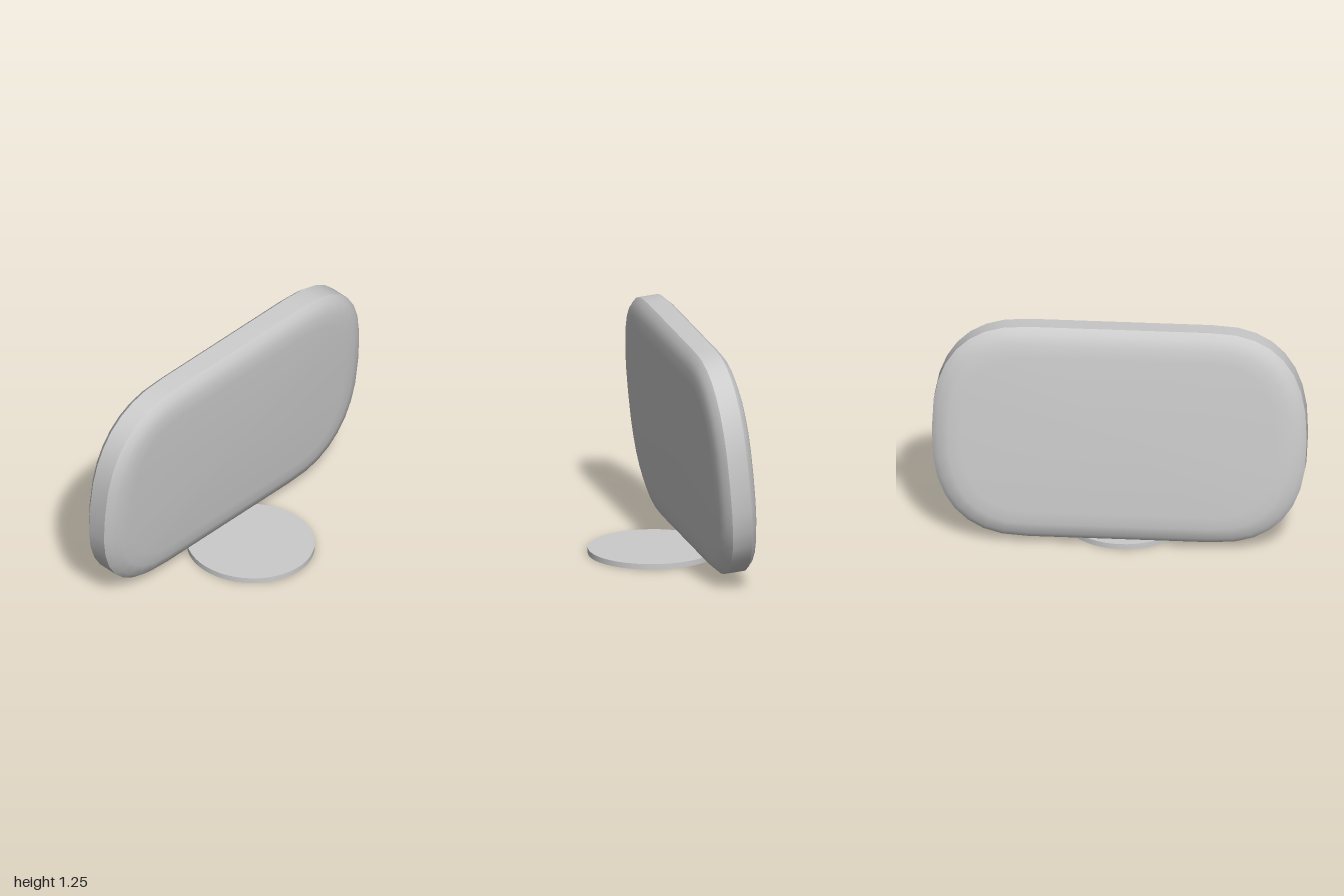
import * as THREE from 'three';
import { toCreasedNormals } from 'three/addons/utils/BufferGeometryUtils.js';

const FLAT = 0.48;   // half length of the straight top and bottom edges
const POWER = 2 / 2.5; // superellipse exponent of the corners
const STEPS = 8;

// Outline of the panel in [y, z], shrunk by an inset
function outline(inset) {
  const quarter = [];
  for (let i = 0; i <= STEPS; i++) {
    const a = (i / STEPS) * Math.PI / 2;
    quarter.push([
      (0.607 - inset) * Math.max(0, Math.cos(a)) ** POWER,
      FLAT + (1 - FLAT - inset) * Math.sin(a) ** POWER,
    ]);
  }
  const back = quarter.slice(0, -1).reverse();
  const half = [...quarter, ...back.map(([y, z]) => [-y, z])];
  return [...half, ...half.map(([y, z]) => [-y, -z])];
}

// Softly domed slab made of stacked outlines along x
function panelGeometry() {
  const side = [[0, 0.054], [0.03, 0.083], [0.09, 0.101], [0.16, 0.106]];
  const profile = [...side.map(([s, x]) => [s, -x]).reverse(), ...side];
  const positions = [], index = [];
  let n = 0;
  for (const [inset, x] of profile) {
    const ring = outline(inset);
    n = ring.length;
    for (const [y, z] of ring) positions.push(x, y, z);
  }
  const last = (profile.length - 1) * n;
  const capA = last + n, capB = capA + 1;
  positions.push(-0.106, 0, 0, 0.106, 0, 0);
  for (let j = 0; j < n; j++) {
    const k = (j + 1) % n;
    for (let r = 0; r < last; r += n) {
      index.push(r + j, r + k, r + n + j, r + k, r + n + k, r + n + j);
    }
    index.push(capA, k, j, capB, last + j, last + k);
  }
  const geometry = new THREE.BufferGeometry();
  geometry.setAttribute('position', new THREE.Float32BufferAttribute(positions, 3));
  geometry.setIndex(index);
  return toCreasedNormals(geometry, 0.62);
}

export function createModel() {
  const group = new THREE.Group();
  const material = new THREE.MeshStandardMaterial({ color: 0xcccccc });

  // Leaning rounded panel
  const panel = new THREE.Mesh(panelGeometry(), material);
  panel.name = 'panel';
  panel.position.set(-0.206, 0.643, 0);
  panel.rotation.z = -0.091;
  group.add(panel);

  // Thin round foot plate
  const base = new THREE.Mesh(new THREE.CylinderGeometry(0.347, 0.347, 0.03, 64), material);
  base.name = 'base';
  base.scale.z = 0.333 / 0.347;
  base.position.set(0, 0.015, 0.015);
  group.add(base);

  return group;
}
